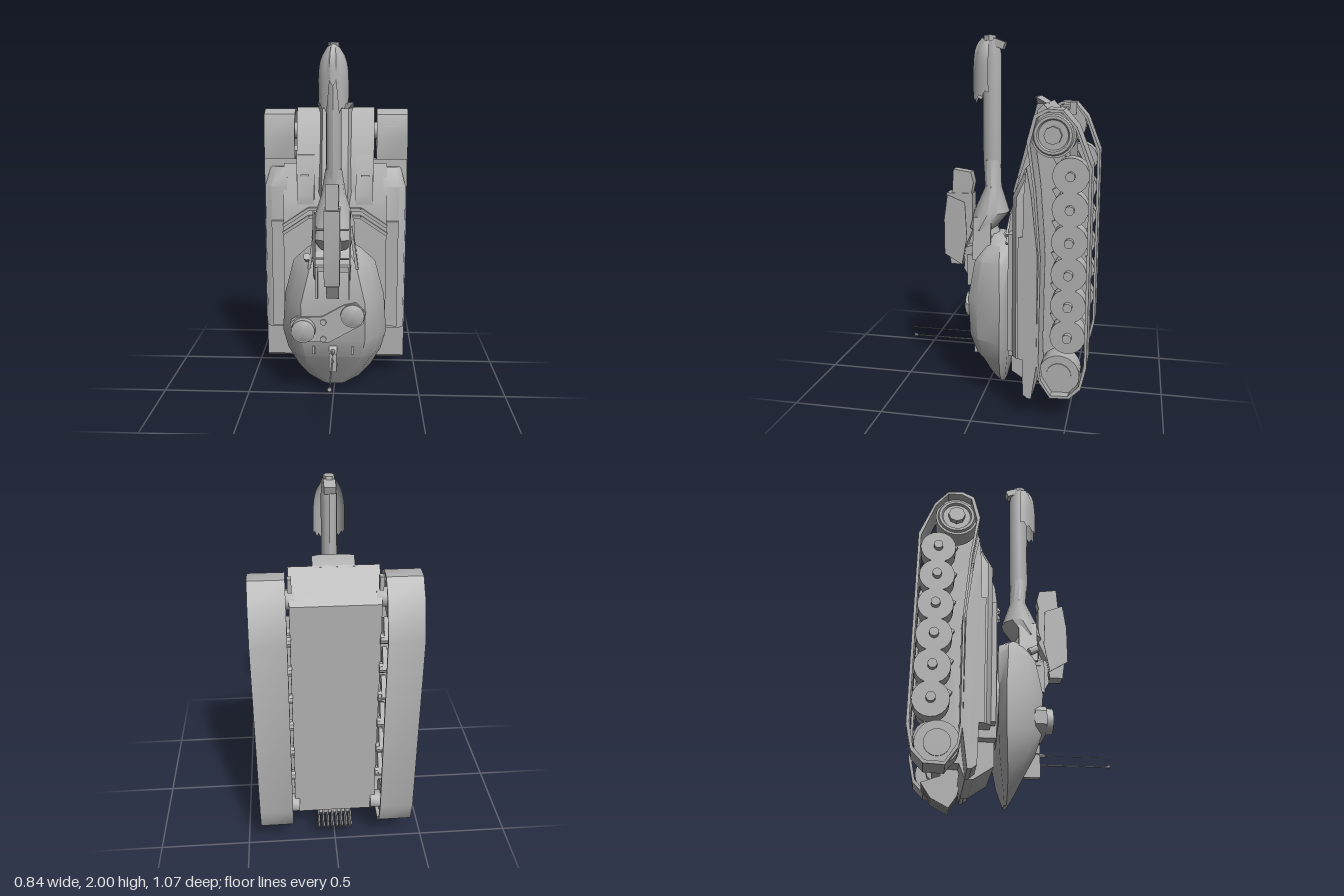
import * as THREE from 'three';
import { toCreasedNormals } from 'three/addons/utils/BufferGeometryUtils.js';

const grey = new THREE.MeshStandardMaterial({ color: 0xb0b0b0, side: THREE.DoubleSide });
grey.name = 'grey';

export function createModel() {
  const root = new THREE.Group();
  root.name = 'tank';

  const add = (name, geo, x = 0, y = 0, z = 0) => {
    const m = new THREE.Mesh(toCreasedNormals(geo, 0.6), grey);
    m.name = name;
    m.position.set(x, y, z);
    root.add(m);
    return m;
  };
  const box = (name, x0, x1, y0, y1, z0, z1) =>
    add(name, new THREE.BoxGeometry(x1 - x0, y1 - y0, z1 - z0), (x0 + x1) / 2, (y0 + y1) / 2, (z0 + z1) / 2);
  // cylinders lying along z or x
  const cylZ = (name, r0, r1, z0, z1, x, y, n = 24) =>
    add(name, new THREE.CylinderGeometry(r1, r0, z1 - z0, n).rotateX(Math.PI / 2), x, y, (z0 + z1) / 2);
  const cylX = (name, r, x0, x1, y, z, n = 20) =>
    add(name, new THREE.CylinderGeometry(r, r, Math.abs(x1 - x0), n).rotateZ(Math.PI / 2), (x0 + x1) / 2, y, z);
  // side outline of [z, y] points, extruded from x0 to x1
  const profile = (name, pts, x0, x1, hole) => {
    const toV = (p) => new THREE.Vector2(-p[0], p[1]);
    const shape = new THREE.Shape(pts.map(toV));
    if (hole) shape.holes.push(new THREE.Path(hole.map(toV)));
    const geo = new THREE.ExtrudeGeometry(shape, { depth: Math.abs(x1 - x0), bevelEnabled: false });
    return add(name, geo.rotateY(Math.PI / 2), Math.min(x0, x1), 0, 0);
  };
  // rings of [x, y, z] with rising y, closed with caps
  const loft = (name, rings) => {
    const pos = [], n = rings[0].length;
    const tri = (...ps) => ps.forEach((p) => pos.push(...p));
    const mid = (r) => [0, 1, 2].map((k) => r.reduce((s, p) => s + p[k], 0) / n);
    const lo = rings[0], hi = rings[rings.length - 1];
    for (let i = 0; i < n; i++) {
      const k = (i + 1) % n;
      for (let j = 0; j < rings.length - 1; j++) {
        const a = rings[j], b = rings[j + 1];
        tri(a[i], a[k], b[k]);
        tri(a[i], b[k], b[i]);
      }
      tri(mid(lo), lo[k], lo[i]);
      tri(mid(hi), hi[i], hi[k]);
    }
    const g = new THREE.BufferGeometry();
    g.setAttribute('position', new THREE.Float32BufferAttribute(pos, 3));
    return add(name, g);
  };
  const oval = (y, rx, z0, z1, n = 12) => Array.from({ length: n }, (_, i) => {
    const a = (i / n) * Math.PI * 2;
    return [Math.cos(a) * rx, y, (z0 + z1) / 2 - Math.sin(a) * (z1 - z0) / 2];
  });
  // flat bar between two points on the deck
  const bar = (name, x0, y0, x1, y1, w, z0, z1) => {
    const m = add(name, new THREE.BoxGeometry(Math.hypot(x1 - x0, y1 - y0), w, z1 - z0),
      (x0 + x1) / 2, (y0 + y1) / 2, (z0 + z1) / 2);
    m.rotation.z = Math.atan2(y1 - y0, x1 - x0);
  };

  // hull
  profile('lowerHull', [[-0.47, 0.2], [-0.47, 1.5], [-0.33, 1.65], [-0.3, 1.62], [-0.2, 1.2], [-0.17, 0.9], [-0.17, 0.18],
    [-0.27, 0.115], [-0.31, 0.115], [-0.34, 0.19]], -0.225, 0.225);
  // driver's ridge, narrowing towards its top: columns are y, base z, top z
  loft('glacisRidge', [[1.0, -0.3, -0.165], [1.17, -0.22, -0.148], [1.36, -0.28, -0.2], [1.645, -0.335, -0.275], [1.68, -0.275, -0.262]]
    .map(([y, z0, z1]) => [[-0.105, y, z0], [-0.075, y, z1], [0.075, y, z1], [0.105, y, z0]]));
  profile('upperHull', [[-0.3, 0.3], [-0.3, 1.27], [-0.25, 1.33], [-0.18, 1.12], [-0.165, 1.0], [-0.165, 0.3]], -0.3, 0.3);
  cylZ('turretRing', 0.22, 0.22, -0.18, -0.13, 0, 0.55, 32);

  // exhaust fins at the rear
  for (let i = 0; i < 8; i++) {
    const x = -0.091 + i * 0.026;
    profile('rearFin', [[-0.33, 0.1], [-0.41, 0.165], [-0.522, 0.125], [-0.47, 0.05], [-0.38, 0.003], [-0.34, 0.06]], x - 0.004, x + 0.004);
  }
  profile('finCore', [[-0.34, 0.1], [-0.33, 0.2], [-0.42, 0.2], [-0.43, 0.14], [-0.37, 0.07]], -0.09, 0.09);

  // everything mirrored on both sides of the hull
  const outer = [[-0.31, 1.61], [-0.37, 1.64], [-0.45, 1.635], [-0.52, 1.555], [-0.597, 1.36], [-0.597, 0.32], [-0.57, 0.2],
    [-0.51, 0.14], [-0.41, 0.135], [-0.35, 0.22], [-0.335, 0.32], [-0.34, 0.9], [-0.31, 1.25], [-0.275, 1.48]];
  const inner = outer.map(([z, y]) => [-0.45 + (z + 0.45) * 0.9, 0.89 + (y - 0.89) * 0.98]);
  for (const s of [-1, 1]) {
    profile('track', outer, s * 0.24, s * 0.42, inner);
    for (let i = 0; i < 6; i++) {
      const y = 0.465 + i * 0.169;
      cylX('roadWheel', 0.092, s * 0.28, s * 0.375, y, -0.49);
      cylX('wheelHub', 0.024, s * 0.375, s * 0.405, y, -0.49, 12);
      cylX('wheelAxle', 0.03, s * 0.22, s * 0.28, y, -0.46, 10);
      const arm = box('swingArm', s * 0.25 - 0.012, s * 0.25 + 0.012, y - 0.02, y + 0.1, -0.47, -0.41);
      arm.rotation.x = 0.5;
    }
    cylX('driveWheel', 0.113, s * 0.26, s * 0.37, 1.51, -0.4, 24);
    cylX('driveWheelAxle', 0.05, s * 0.2, s * 0.26, 1.51, -0.4, 12);
    add('driveWheelRim', new THREE.TorusGeometry(0.088, 0.014, 6, 24).rotateY(Math.PI / 2), s * 0.372, 1.51, -0.4);
    cylX('driveWheelHub', 0.045, s * 0.37, s * 0.4, 1.51, -0.4, 8);
    cylX('idlerWheel', 0.108, s * 0.26, s * 0.375, 0.25, -0.45, 24);
    cylX('idlerWheelCap', 0.065, s * 0.375, s * 0.381, 0.25, -0.45, 24);
    cylX('idlerWheelAxle', 0.05, s * 0.2, s * 0.26, 0.25, -0.45, 12);

    profile('fender', [[-0.275, 1.355], [-0.3, 1.22], [-0.335, 0.9], [-0.335, 0.3], [-0.31, 0.12], [-0.29, 0.12],
      [-0.265, 0.14], [-0.26, 0.34], [-0.26, 1.18]], s * 0.225, s * 0.418);
    // stowage box along the fender with a sloped front end
    loft('fenderBox', [[0.34, 0.41, -0.2], [1.2, 0.41, -0.2], [1.31, 0.38, -0.25]].map(([y, x, z]) => {
      const r = [[0.28, y, -0.28], [0.28, y, z], [x - 0.037, y, z], [x, y, z - 0.025], [x, y, -0.28]];
      return s > 0 ? r : r.map(([a, b, c]) => [-a, b, c]).reverse();
    }));
    box('skirtBox', s * 0.395 - 0.022, s * 0.395 + 0.022, 0.34, 1.0, -0.3, -0.235);
    box('deckLocker', s * 0.335 - 0.035, s * 0.335 + 0.035, 0.36, 1.0, -0.21, -0.175);
    // front hatches and splash deflectors
    profile('frontPod', [[-0.3, 1.2], [-0.265, 1.385], [-0.24, 1.38], [-0.172, 1.15], [-0.172, 1.1]], s * 0.12, s * 0.22);
    box('hatchHandle', s * 0.175 - 0.025, s * 0.175 + 0.025, 1.26, 1.27, -0.22, -0.195);
    for (const d of [0, 0.045]) {
      bar('splashBar', s * 0.3, 0.93 + d, s * 0.15, 1.03 + d, 0.018, -0.175, -0.15);
      bar('splashBar', s * 0.15, 1.03 + d, s * 0.07, 1.03 + d, 0.018, -0.175, -0.15);
    }
    box('towHook', s * 0.22 - 0.01, s * 0.22 + 0.01, 1.57, 1.64, -0.46, -0.42);
  }

  // turret: columns are y, half width, its z, bottom half width, bottom z, top half width, top z
  const turret = [
    [0.03, 0.06, -0.09, 0.04, -0.1, 0.03, -0.08], [0.08, 0.15, -0.095, 0.1, -0.11, 0.06, -0.05],
    [0.15, 0.215, -0.1, 0.16, -0.125, 0.11, -0.015], [0.25, 0.275, -0.11, 0.2, -0.14, 0.16, 0.04],
    [0.36, 0.305, -0.115, 0.22, -0.147, 0.18, 0.075], [0.58, 0.29, -0.115, 0.21, -0.15, 0.18, 0.085],
    [0.79, 0.235, -0.1, 0.18, -0.15, 0.13, 0.055], [0.87, 0.15, -0.09, 0.12, -0.14, 0.09, 0.02],
    [0.92, 0.07, -0.06, 0.05, -0.09, 0.05, -0.02],
  ];
  loft('turret', turret.map(([y, w, zm, b, zb, t, zt]) => {
    const sx = t + 0.55 * (w - t), sz = zm + 0.7 * (zt - zm);
    const half = [[-b, zb], [-w, zm], [-sx, sz], [-t, zt]];
    return [...half, ...half.map(([x, z]) => [-x, z]).reverse()].map(([x, z]) => [x, y, z]);
  }));

  // mantlet and gun
  loft('mantlet', [oval(0.88, 0.08, -0.08, 0.05), oval(0.95, 0.12, -0.04, 0.11), oval(1.04, 0.115, -0.115, 0.09),
    oval(1.18, 0.07, -0.07, 0.025), oval(1.33, 0.045, -0.065, 0.035)]);
  loft('barrel', [oval(1.2, 0.04, -0.055, 0.025), oval(1.32, 0.042, -0.068, 0.037), oval(1.9, 0.042, -0.068, 0.037),
    oval(1.97, 0.036, -0.055, 0.03)]);
  loft('muzzle', [oval(1.94, 0.03, -0.05, 0.03, 6), oval(2.0, 0.03, -0.04, 0.03, 6)]);
  box('muzzleLip', -0.03, 0.03, 1.935, 1.975, -0.09, -0.02).rotation.x = -0.35;
  for (const s of [-1, 1]) box('mantletCheek', s * 0.115 - 0.008, s * 0.115 + 0.008, 0.78, 1.02, -0.03, 0.07).rotation.z = s * 0.15;

  // ragged cover draped over the muzzle, open down the middle
  const drape = new THREE.PlaneGeometry(1, 1, 16, 8);
  const dp = drape.attributes.position;
  for (let i = 0; i < dp.count; i++) {
    const u = dp.getX(i) * 2, t = dp.getY(i) + 0.5, col = i % 17;
    const low = 1.61 + 0.09 * Math.abs(u) + (col % 2) * 0.02 + (Math.abs(u) < 0.15 ? 0.16 : 0);
    const r = 0.082 - 0.042 * Math.pow(t, 5), a = u * 1.65;
    dp.setXYZ(i, Math.sin(a) * r, low + (1.992 - low - 0.03 * Math.abs(u)) * t, -0.005 + Math.cos(a) * (r + 0.012 * (1 - t)));
  }
  add('muzzleCover', drape);

  // roof gun with side shields
  profile('roofGunBody', [[0.09, 1.14], [0.24, 1.14], [0.24, 0.86], [0.22, 0.725], [0.15, 0.725], [0.13, 0.84], [0.09, 0.93]], -0.042, 0.042);
  profile('roofGunHead', [[0.1, 1.13], [0.21, 1.13], [0.2, 1.275], [0.1, 1.26], [0.085, 1.2]], -0.035, 0.035);
  for (const s of [-1, 1]) {
    profile('roofGunShield', [[0.12, 1.1], [0.22, 1.14], [0.24, 1.0], [0.24, 0.8], [0.14, 0.74], [0.11, 0.9]], s * 0.092, s * 0.099);
    for (const y of [0.86, 1.02]) cylX('shieldStrut', 0.006, s * 0.04, s * 0.095, y, 0.14, 8);
    bar('mountLeg', s * 0.09, 0.62, s * 0.09, 0.8, 0.012, 0.05, 0.11);
  }
  profile('roofGunBase', [[0.05, 0.62], [0.1, 0.62], [0.145, 0.7], [0.14, 0.75], [0.15, 0.82], [0.03, 0.86]], -0.035, 0.035);
  box('mountCrossbar', -0.1, 0.1, 0.77, 0.8, 0.05, 0.09);

  // roof hatches joined by a plate
  const plate = new THREE.Shape([[-0.24, 0.4], [-0.18, 0.36], [-0.02, 0.36], [0.17, 0.47], [0.185, 0.54], [0.13, 0.595],
    [0.06, 0.58], [-0.06, 0.51], [-0.2, 0.505], [-0.24, 0.47]].map((p) => new THREE.Vector2(...p)));
  add('hatchPlate', new THREE.ExtrudeGeometry(plate, { depth: 0.06, bevelEnabled: false }), 0, 0, 0.035);
  for (const [x, y, z] of [[-0.165, 0.435, 0.13], [0.11, 0.52, 0.105]]) {
    cylZ('cupola', 0.073, 0.066, 0.03, z, x, y);
    cylZ('cupolaLid', 0.06, 0.055, z, z + 0.003, x, y);
  }
  for (const y of [0.38, 0.48]) cylZ('roofVent', 0.017, 0.017, 0.09, 0.105, -0.053, y, 12);
  cylZ('sightTube', 0.02, 0.02, 0.02, 0.07, -0.145, 0.84, 12).rotation.x = -0.5;

  // antenna mount and rods
  profile('antennaMount', [[-0.02, 0.18], [0.09, 0.18], [0.09, 0.29], [0.06, 0.33], [-0.02, 0.33]], -0.022, 0.022);
  cylZ('antenna', 0.004, 0.003, 0.08, 0.46, 0, 0.25, 6);
  cylZ('antennaTip', 0.007, 0.012, 0.445, 0.463, 0, 0.25, 8);
  cylZ('thinAntenna', 0.0025, 0.0015, 0.08, 0.47, 0, 0.3, 6);
  cylZ('antennaFoot', 0.014, 0.008, 0.08, 0.12, 0, 0.3, 8);
  for (const x of [-0.11, 0.11]) box('roofHook', x - 0.006, x + 0.006, 0.28, 0.325, 0.03, 0.075);

  return root;
}
